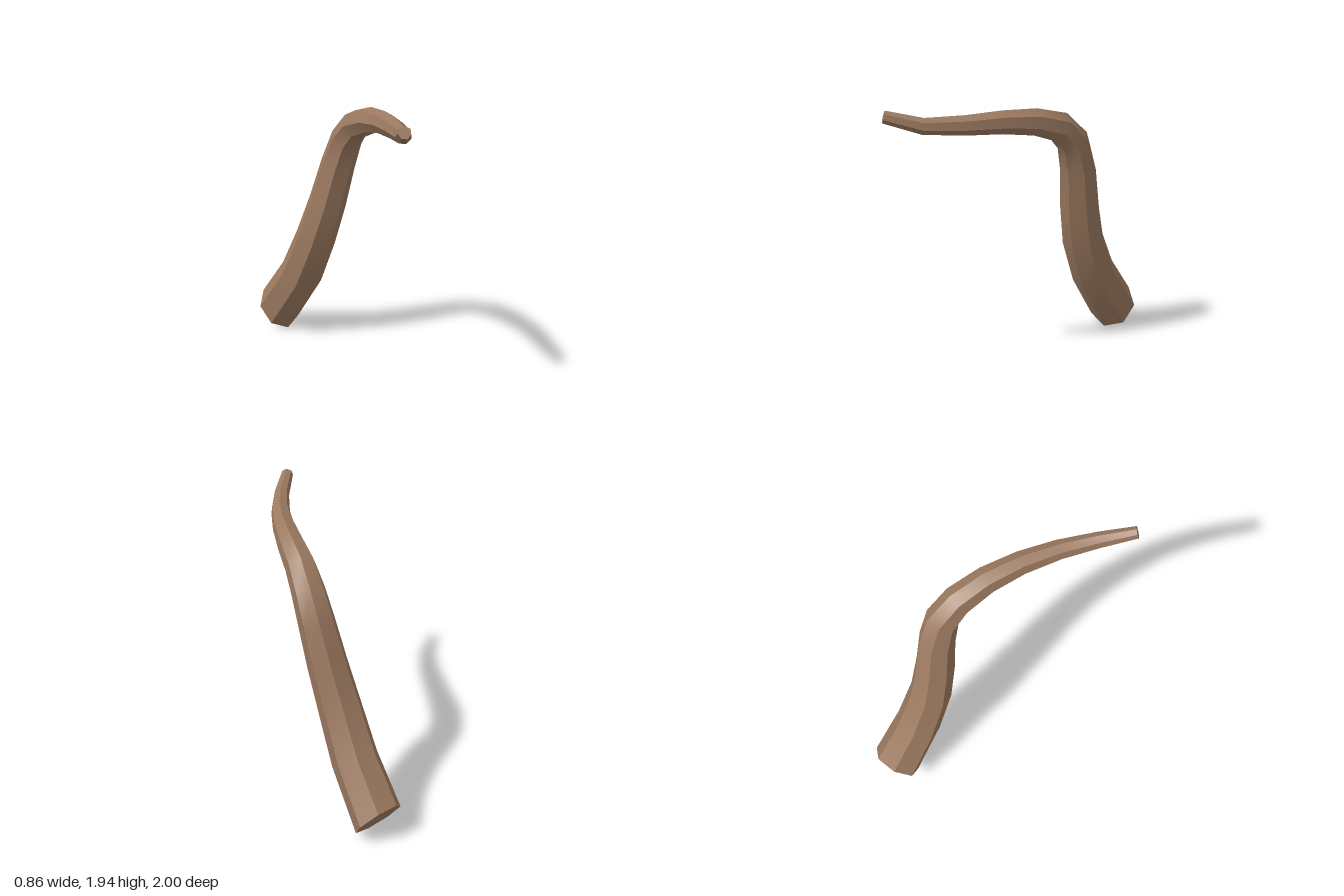
import * as THREE from 'three';
import { toCreasedNormals } from 'three/addons/utils/BufferGeometryUtils.js';

const SIDES = 7;

// Centre line from thick base to thin tip: x, y, z, radius
const rings = [
  [-0.28, 0.144, -0.87, 0.18],
  [-0.13, 0.48, -0.65, 0.165],
  [-0.035, 0.80, -0.52, 0.152],
  [0.045, 1.09, -0.455, 0.14],
  [0.115, 1.38, -0.41, 0.127],
  [0.168, 1.58, -0.35, 0.116],
  [0.22, 1.71, -0.225, 0.105],
  [0.285, 1.777, -0.02, 0.092],
  [0.335, 1.805, 0.22, 0.079],
  [0.363, 1.812, 0.48, 0.067],
  [0.36, 1.827, 0.75, 0.055],
  [0.32, 1.897, 0.99, 0.042],
];

// Sweeps a tapering polygon along the rings without twisting it
function taperedBranch() {
  const centres = rings.map(([x, y, z]) => new THREE.Vector3(x, y, z));
  const last = rings.length - 1;
  const u = new THREE.Vector3(0.06, -0.144, 0.09);
  const positions = [];
  const index = [];

  centres.forEach((c, i) => {
    const t = i === 0
      ? new THREE.Vector3(0.5, 0.6, 0.63)
      : centres[Math.min(i + 1, last)].clone().sub(centres[i - 1]);
    t.normalize();
    u.addScaledVector(t, -u.dot(t)).normalize();
    const v = t.clone().cross(u);
    for (let j = 0; j < SIDES; j++) {
      const a = (j / SIDES) * Math.PI * 2;
      const p = c.clone()
        .addScaledVector(u, Math.cos(a) * rings[i][3])
        .addScaledVector(v, Math.sin(a) * rings[i][3]);
      positions.push(p.x, p.y, p.z);
    }
  });

  // Side walls
  for (let i = 0; i < last; i++) {
    for (let j = 0; j < SIDES; j++) {
      const a = i * SIDES + j;
      const b = i * SIDES + (j + 1) % SIDES;
      index.push(a, b, b + SIDES, a, b + SIDES, a + SIDES);
    }
  }
  // Flat cuts at both ends
  const tip = last * SIDES;
  for (let j = 1; j < SIDES - 1; j++) {
    index.push(0, j + 1, j);
    index.push(tip, tip + j, tip + j + 1);
  }

  const geometry = new THREE.BufferGeometry();
  geometry.setAttribute('position', new THREE.Float32BufferAttribute(positions, 3));
  geometry.setIndex(index);
  // Smooth along the length, sharp between the long facets
  return toCreasedNormals(geometry, 0.7);
}

export function createModel() {
  const group = new THREE.Group();
  group.name = 'bentBranch';
  const wood = new THREE.MeshStandardMaterial({ color: 0x9c7a60 });
  const branch = new THREE.Mesh(taperedBranch(), wood);
  branch.name = 'branch';
  group.add(branch);
  return group;
}
